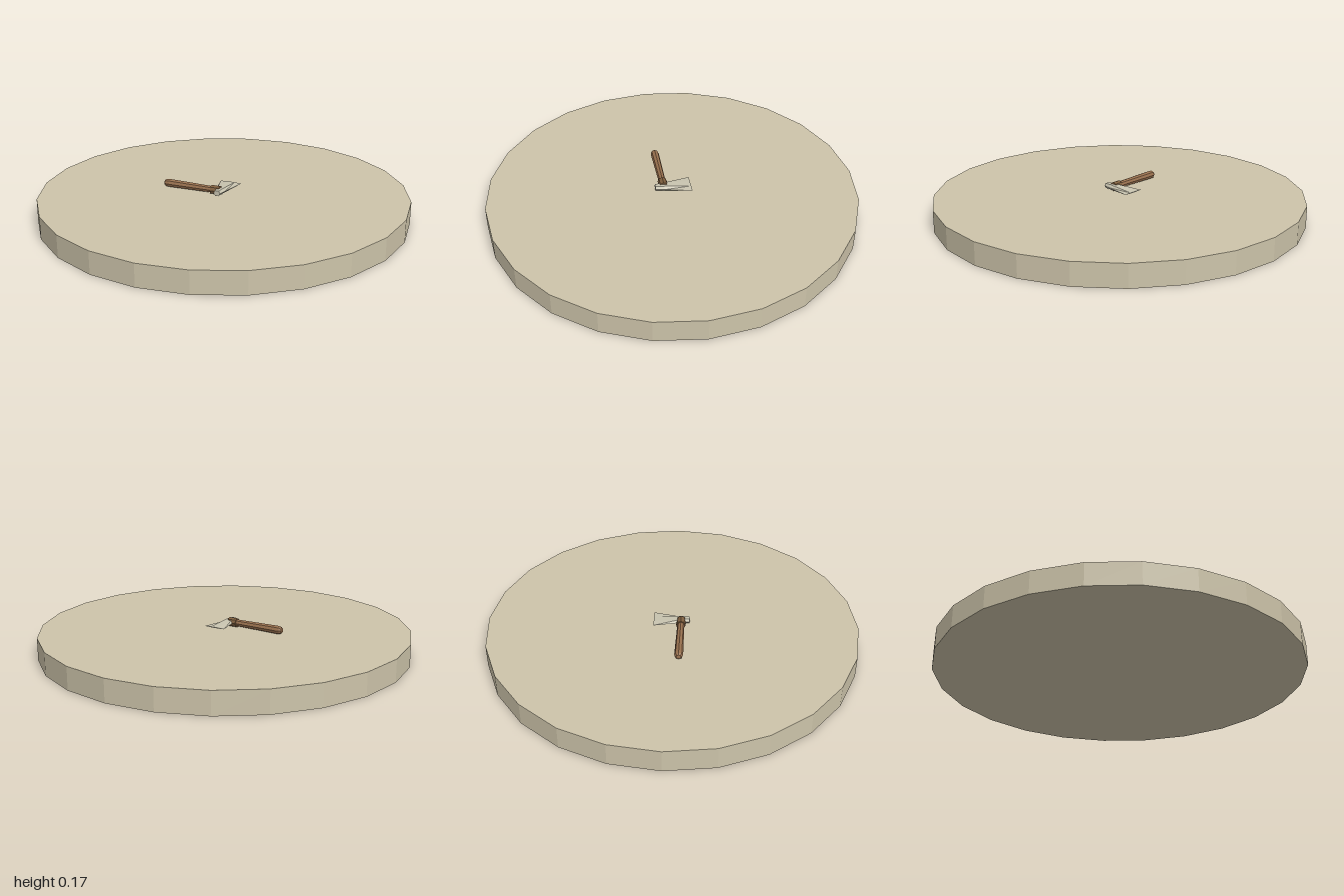
import * as THREE from 'three';

function material(name, color) {
  const m = new THREE.MeshStandardMaterial({ color, flatShading: true });
  m.name = name;
  return m;
}

// Closed solid lofted through hexagonal sections [z, half width, ridge half width, half thickness]
function loftHead(sections) {
  const pos = [], index = [];
  for (const [z, w, r, t] of sections) {
    for (const [x, y] of [[w, 0], [r, t], [-r, t], [-w, 0], [-r, -t], [r, -t]]) pos.push(x, y, z);
  }
  const last = (sections.length - 1) * 6;
  for (let s = 0; s < last; s += 6) {
    for (let i = 0; i < 6; i++) {
      const a = s + i, b = s + (i + 1) % 6;
      index.push(a, b, a + 6, b, b + 6, a + 6);
    }
  }
  for (let i = 1; i < 5; i++) {
    index.push(0, i + 1, i, last, last + i, last + i + 1);
  }
  const g = new THREE.BufferGeometry();
  g.setAttribute('position', new THREE.Float32BufferAttribute(pos, 3));
  g.setIndex(index);
  const flat = g.toNonIndexed();
  flat.computeVertexNormals();
  return flat;
}

export function createModel() {
  const stone = material('pale stone', 0xcdc4aa);
  const wood = material('brown wood', 0x98704e);
  const binding = material('dark binding', 0x80603f);
  const blade = material('pale blade', 0xc9c4b0);

  const model = new THREE.Group();
  const add = (parent, name, geometry, mat) => {
    const mesh = new THREE.Mesh(geometry, mat);
    mesh.name = name;
    parent.add(mesh);
    return mesh;
  };

  // Faceted round slab
  add(model, 'base', new THREE.CylinderGeometry(1, 1, 0.122, 24), stone).position.y = 0.061;

  // Small axe lying on the slab
  const axe = new THREE.Group();
  axe.name = 'axe';
  axe.position.set(0, 0.147, 0.047);
  model.add(axe);

  // Handle with a rounded butt, turned around the x axis
  const profile = [[0, -0.333], [0.013, -0.33], [0.021, -0.319], [0.023, -0.305],
    [0.019, -0.06], [0.019, -0.01], [0, -0.01]].map(([r, y]) => new THREE.Vector2(r, y));
  add(axe, 'handle', new THREE.LatheGeometry(profile, 8), wood).rotation.z = -Math.PI / 2;

  // Collar where the handle meets the head
  const collar = add(axe, 'collar', new THREE.CylinderGeometry(0.025, 0.025, 0.05, 8), binding);
  collar.rotation.z = Math.PI / 2;
  collar.position.x = -0.026;

  // Head, flaring and thinning from the poll to the cutting edge
  add(axe, 'axeHead', loftHead([
    [-0.147, 0.061, 0.022, 0.002],
    [0, 0.028, 0.016, 0.014],
    [0.046, 0.019, 0.011, 0.013],
  ]), blade);

  return model;
}
